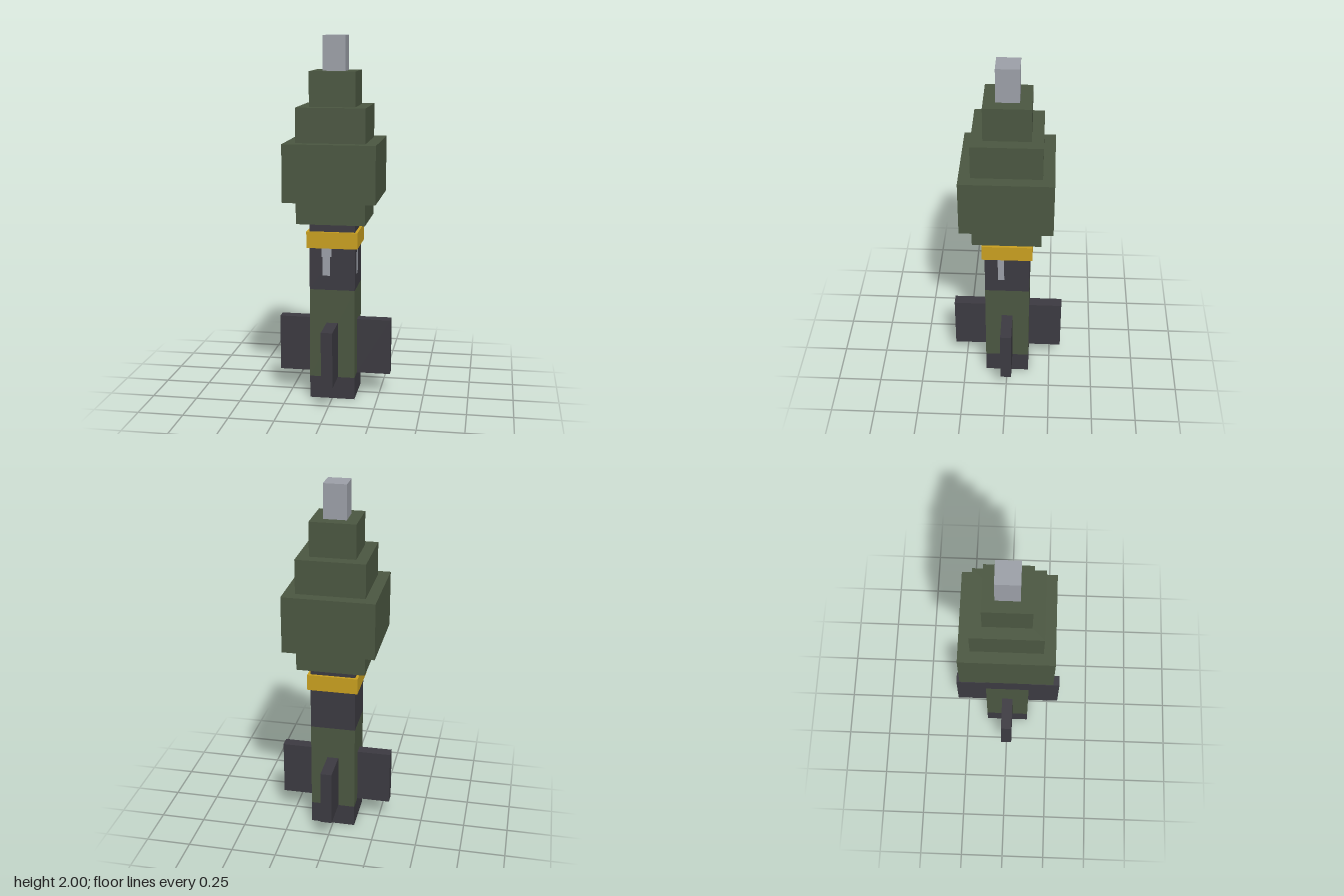
import * as THREE from 'three';

export function createModel() {
  const model = new THREE.Group();
  model.name = 'finnedProjectile';

  const material = (name, color) => {
    const m = new THREE.MeshStandardMaterial({ color });
    m.name = name;
    return m;
  };
  const green = material('olive green', 0x4b5741);
  const dark = material('dark grey', 0x3c3a41);
  const gold = material('gold', 0xc9a020);
  const silver = material('silver', 0x9ca0a8);

  // Square block centred on the axis, given by its half width and height span
  const block = (name, mat, half, y0, y1) => {
    const mesh = new THREE.Mesh(new THREE.BoxGeometry(half * 2, y1 - y0, half * 2), mat);
    mesh.name = name;
    mesh.position.y = (y0 + y1) / 2;
    model.add(mesh);
  };

  // Stacked body, from tail to tip
  const U = 1 / 16;
  block('tailBase', dark, 2 * U, 0, 2 * U);
  block('tailTube', green, 2 * U, 2 * U, 10 * U);
  block('neck', dark, 2 * U, 10 * U, 16 * U);
  block('neckBand', gold, 0.14, 0.86, 0.95);
  block('lowerCollar', green, 3 * U, 16 * U, 18 * U);
  block('warhead', green, 4 * U, 18 * U, 23 * U);
  block('upperStep', green, 3 * U, 23 * U, 26 * U);
  block('noseStep', green, 2 * U, 26 * U, 29 * U);
  block('fuseTip', silver, U, 29 * U, 32 * U);

  // Four tail fins
  for (let i = 0; i < 4; i++) {
    const pivot = new THREE.Group();
    pivot.name = 'tailFin' + (i + 1);
    const fin = new THREE.Mesh(new THREE.BoxGeometry(3 * U, 5 * U, U), dark);
    fin.name = 'finPlate';
    fin.position.set(3.5 * U, 4.5 * U, 0);
    pivot.add(fin);
    pivot.rotation.y = (i * Math.PI) / 2;
    model.add(pivot);
  }

  // Thin silver marks under the band
  const mark = (name, w, y0, y1) => {
    const mesh = new THREE.Mesh(new THREE.BoxGeometry(w, y1 - y0, 0.002), silver);
    mesh.name = name;
    mesh.position.y = (y0 + y1) / 2;
    return mesh;
  };
  const front = new THREE.Group();
  front.name = 'frontMark';
  front.add(mark('markTop', 0.055, 0.81, 0.86), mark('markStem', 0.042, 0.705, 0.81));
  front.position.set(-0.032, 0, 2 * U);
  model.add(front);

  const side = new THREE.Group();
  side.name = 'sideMark';
  side.add(mark('markStem', 0.036, 0.705, 0.86));
  side.position.set(2 * U, 0, 0.034);
  side.rotation.y = Math.PI / 2;
  model.add(side);

  return model;
}
